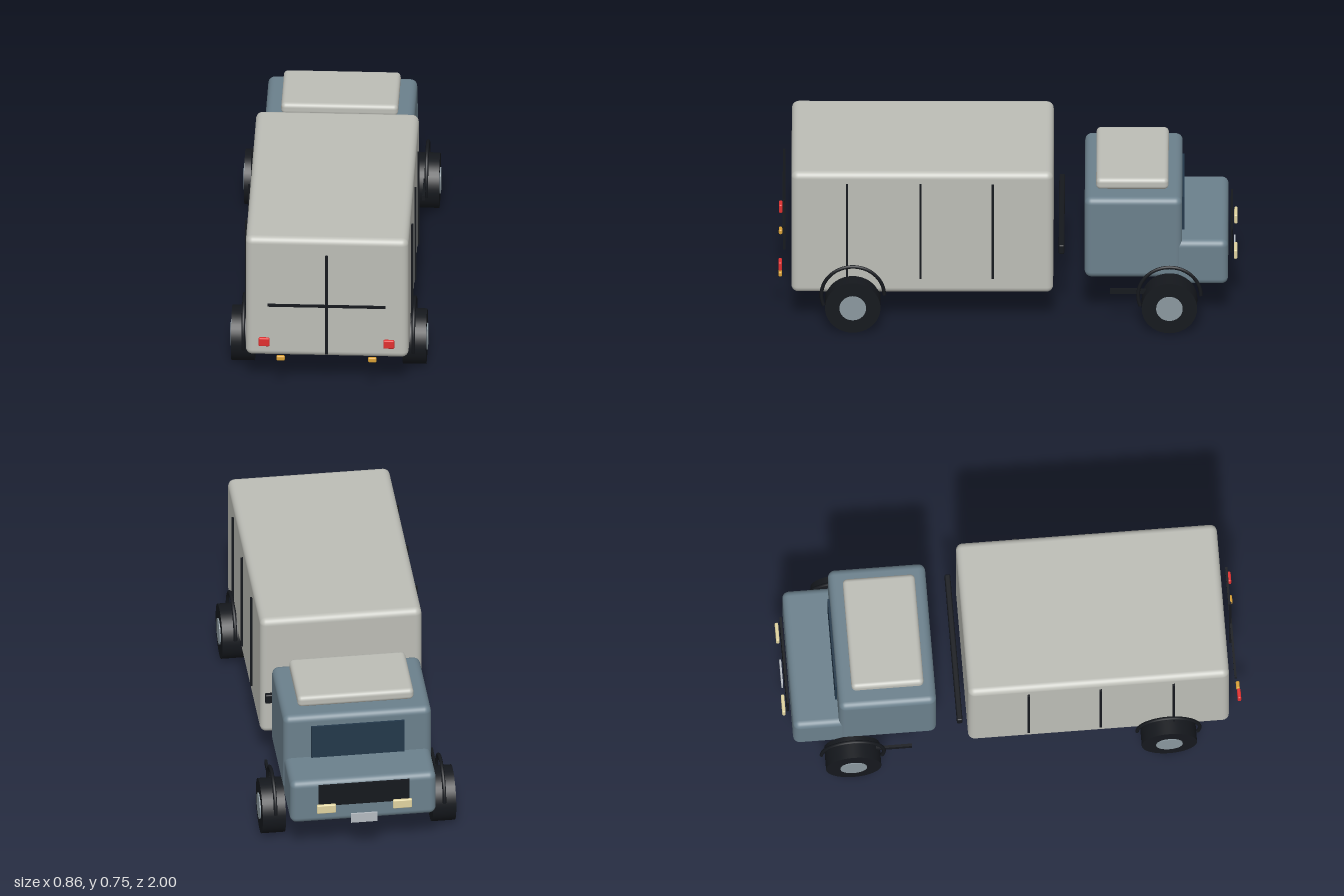
import * as THREE from 'three';
import { RoundedBoxGeometry } from 'three/addons/geometries/RoundedBoxGeometry.js';

const material = (color) => new THREE.MeshStandardMaterial({ color });

export function createModel() {
  const truck = new THREE.Group();
  truck.name = 'boxTruck';

  const shell = material(0xbcbdb6);
  const paint = material(0x6b808c);
  const dark = material(0x15181d);
  const glass = material(0x23384a);
  const hubGrey = material(0x8a979e);
  const red = material(0xe03030);
  const amber = material(0xd9a035);
  const cream = material(0xe0d3a0);
  const plateGrey = material(0xb4bac0);

  const add = (name, geometry, mat, x, y, z) => {
    const mesh = new THREE.Mesh(geometry, mat);
    mesh.name = name;
    mesh.position.set(x, y, z);
    truck.add(mesh);
    return mesh;
  };
  // Boxes are given by their extents along each axis
  const box = (name, mat, [x0, x1], [y0, y1], [z0, z1], radius = 0) => {
    const size = [x1 - x0, y1 - y0, z1 - z0];
    const geometry = radius
      ? new RoundedBoxGeometry(...size, 4, radius)
      : new THREE.BoxGeometry(...size);
    return add(name, geometry, mat, (x0 + x1) / 2, (y0 + y1) / 2, (z0 + z1) / 2);
  };

  // Main bodies
  box('cargoBox', shell, [-0.355, 0.355], [0.155, 0.745], [-0.198, 0.943], 0.03);
  box('cab', paint, [-0.325, 0.325], [0.215, 0.605], [-0.76, -0.335], 0.03);
  box('hood', paint, [-0.32, 0.32], [0.18, 0.395], [-0.96, -0.66], 0.03);
  box('roofPad', shell, [-0.255, 0.255], [0.613, 0.667], [-0.70, -0.385], 0.02);
  box('couplingBar', dark, [-0.34, 0.34], [0.342, 0.386], [-0.247, -0.222], 0.006);

  // Cab face
  box('windshield', glass, [-0.205, 0.205], [0.37, 0.555], [-0.769, -0.757]);
  box('grille', dark, [-0.2, 0.2], [0.28, 0.385], [-0.98, -0.97]);
  box('numberPlate', plateGrey, [-0.058, 0.058], [0.19, 0.235], [-0.992, -0.984]);

  // Rear door seams
  box('doorSeam', dark, [-0.006, 0.006], [0.19, 0.68], [0.97, 0.98]);
  box('doorBar', dark, [-0.257, 0.257], [0.426, 0.436], [0.973, 0.983]);

  for (const side of [-1, 1]) {
    const label = side > 0 ? 'left' : 'right';
    const span = (centre, width) => [side * centre - width / 2, side * centre + width / 2];

    // Lights
    box(`${label}Headlight`, cream, span(0.167, 0.084), [0.252, 0.295], [-1, -0.985], 0.005);
    box(`${label}TailLight`, red, span(0.272, 0.048), [0.235, 0.276], [0.984, 1], 0.006);
    box(`${label}Marker`, amber, span(0.2, 0.037), [0.165, 0.188], [0.984, 1], 0.006);

    // Side trim and cab step
    for (const z of [0.70, 0.38, 0.065])
      box(`${label}SideStrip`, dark, span(0.363, 0.01), [0.235, 0.695], [z - 0.005, z + 0.005]);
    box(`${label}Step`, dark, span(0.364, 0.012), [0.164, 0.186], [-0.65, -0.446]);

    // Wheels with hubs and arches
    for (const [end, z] of [['Front', -0.705], ['Rear', 0.675]]) {
      const tyre = add(`${label}${end}Tyre`, new THREE.CylinderGeometry(0.121, 0.121, 0.102, 40),
        dark, side * 0.374, 0.121, z);
      tyre.rotation.z = Math.PI / 2;
      const hub = add(`${label}${end}Hub`, new THREE.CylinderGeometry(0.058, 0.058, 0.112, 32),
        hubGrey, side * 0.374, 0.121, z);
      hub.rotation.z = Math.PI / 2;
      const arch = add(`${label}${end}Arch`, new THREE.TorusGeometry(0.137, 0.008, 8, 40, Math.PI * 1.12),
        dark, side * 0.371, 0.158, z);
      arch.rotation.y = Math.PI / 2;
    }
  }
  return truck;
}
